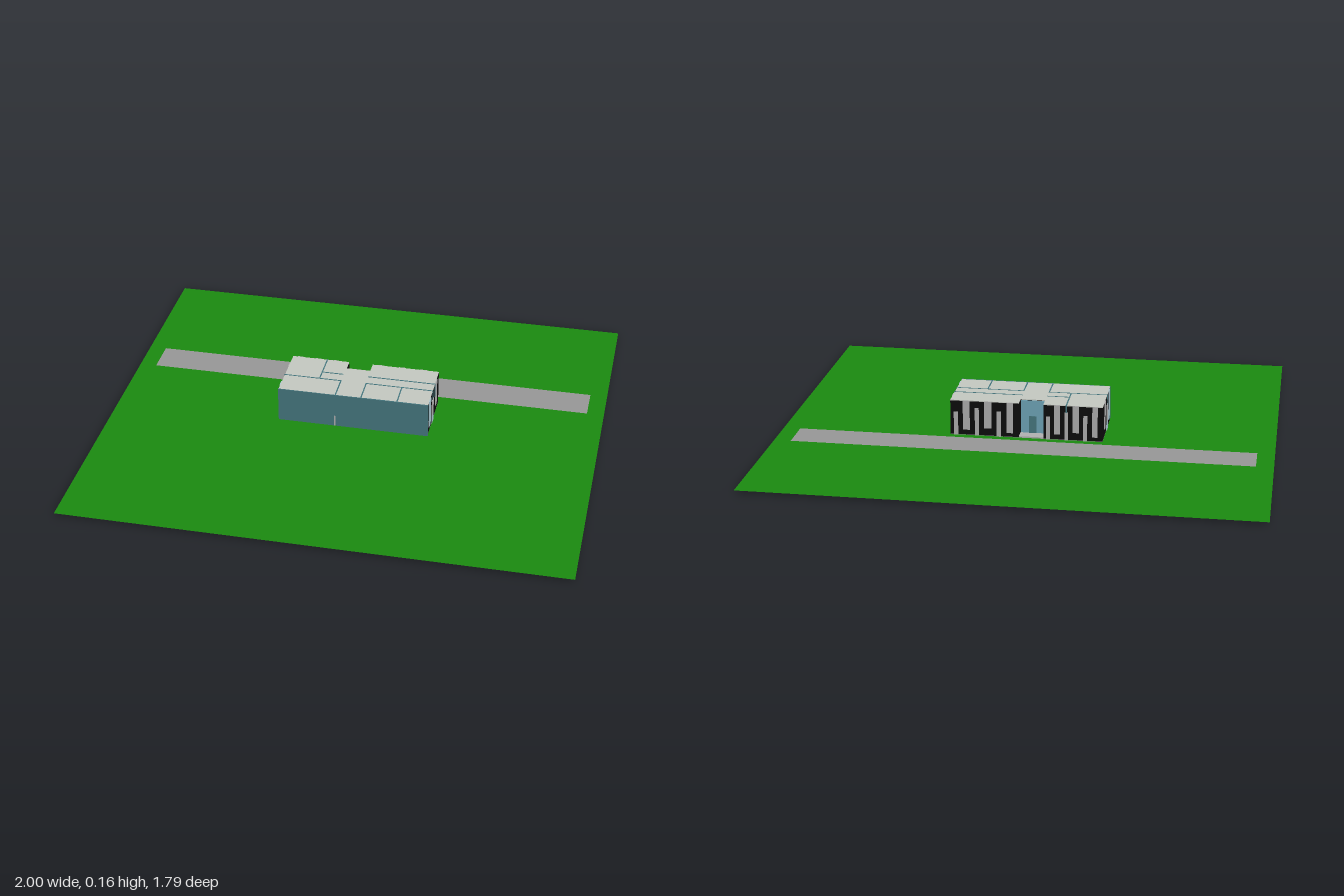
import * as THREE from 'three';

export function createModel() {
  const model = new THREE.Group();
  const mat = (color, side = THREE.FrontSide) => new THREE.MeshStandardMaterial({ color, side });
  const black = mat(0x0c0c0c), teal = mat(0x467880), pale = mat(0xa9c6d0), grey = mat(0xb0b0b0);
  const roofGrey = mat(0xc4c8c0), floorGrey = mat(0x8a808a);
  const base = 0.012, top = 0.16;

  function add(name, geometry, material, parent = model) {
    const mesh = new THREE.Mesh(geometry, material);
    mesh.name = name;
    parent.add(mesh);
    return mesh;
  }
  // Box given by its limits on each axis
  function box(name, x0, x1, y0, y1, z0, z1, material, parent) {
    const mesh = add(name, new THREE.BoxGeometry(x1 - x0, y1 - y0, z1 - z0), material, parent);
    mesh.position.set((x0 + x1) / 2, (y0 + y1) / 2, (z0 + z1) / 2);
    return mesh;
  }
  function plane(name, x0, x1, z0, z1, y, material) {
    const mesh = add(name, new THREE.PlaneGeometry(x1 - x0, z1 - z0).rotateX(-Math.PI / 2), material);
    mesh.position.set((x0 + x1) / 2, y, (z0 + z1) / 2);
  }

  // Lawn and road
  plane('lawn', -1, 1, -0.895, 0.895, base, mat(0x1b8a10, THREE.DoubleSide));
  plane('road', -0.93, 0.93, -0.36, -0.215, base + 0.002, mat(0x979797));

  // Footprint with the entrance recess at the back
  const footprint = new THREE.Shape([
    [-0.31, -0.08], [0.31, -0.08], [0.31, 0.18], [0.03, 0.18],
    [0.03, 0.13], [-0.07, 0.13], [-0.07, 0.18], [-0.31, 0.18],
  ].map(([x, y]) => new THREE.Vector2(x, y)));
  function slab(name, y0, y1, material) {
    const geometry = new THREE.ExtrudeGeometry(footprint, { depth: y1 - y0, bevelEnabled: false });
    add(name, geometry.rotateX(-Math.PI / 2), material).position.y = y0;
  }
  slab('floor', base - 0.003, base + 0.002, floorGrey);
  slab('outerWalls', base + 0.002, top - 0.003, black);
  slab('roof', top - 0.003, top, roofGrey);

  // Front wall with a narrow slot
  box('frontWall', -0.312, 0.312, base, top, 0.078, 0.083, teal);
  box('frontSlot', -0.078, -0.073, base, 0.06, 0.08, 0.084, grey);

  // Partition walls showing as thin seams on the roof
  const seams = new THREE.Group();
  seams.name = 'partitionWalls';
  model.add(seams);
  [[-0.163, -0.18, -0.163, -0.03], [-0.163, -0.08, -0.075, -0.08], [-0.31, -0.03, -0.073, -0.03],
    [-0.073, -0.03, -0.073, 0.08], [0.033, -0.03, 0.033, 0.08], [0.033, -0.03, 0.31, -0.03],
    [0.182, -0.03, 0.182, 0.08], [0.033, -0.082, 0.31, -0.082],
  ].forEach(([x0, z0, x1, z1]) => {
    const w = 0.0025;
    box('partitionWall', x0 - w, x1 + w, 0.1, top + 0.001, z0 - w, z1 + w, teal, seams);
  });

  // Upright panels on both end walls
  for (const side of [-1, 1]) {
    const end = (name, z0, z1, y0, y1, m) => {
      const x = side * 0.311;
      box(name, x - 0.002, x + 0.002, y0, y1, z0, z1, m);
    };
    end('endWindow', 0.02, 0.053, 0.035, top, pale);
    end('endPanel', -0.125, -0.098, 0.045, top, grey);
    end('endDoor', -0.047, -0.014, 0, 0.05, pale);
    end('endDoorPanel', -0.047, -0.014, 0.05, 0.12, grey);
  }

  // Uneven rhythm of panels on the two back wings
  const panels = [[0.02, 0.022, 0.03, top], [0.062, 0.016, base, 0.12], [0.095, 0.026, 0.045, top],
    [0.14, 0.014, base, 0.13], [0.172, 0.024, 0.035, top], [0.213, 0.015, base, 0.11]];
  for (const [start, end] of [[-0.31, -0.07], [0.03, 0.31]]) {
    const scale = (end - start) / 0.24;
    for (const [offset, width, y0, y1] of panels) {
      const x = start + offset * scale;
      box('backPanel', x, x + width * scale, y0, y1, -0.183, -0.179, grey);
    }
  }

  // Glazed entrance in the recess
  box('entranceGlass', -0.068, 0.028, base, top - 0.004, -0.133, -0.129, mat(0x6fa5b8));
  box('entranceDoor', -0.035, -0.005, base, 0.09, -0.135, -0.131, teal);
  box('entranceStep', -0.07, 0.03, base, base + 0.006, -0.18, -0.13, grey);
  return model;
}
